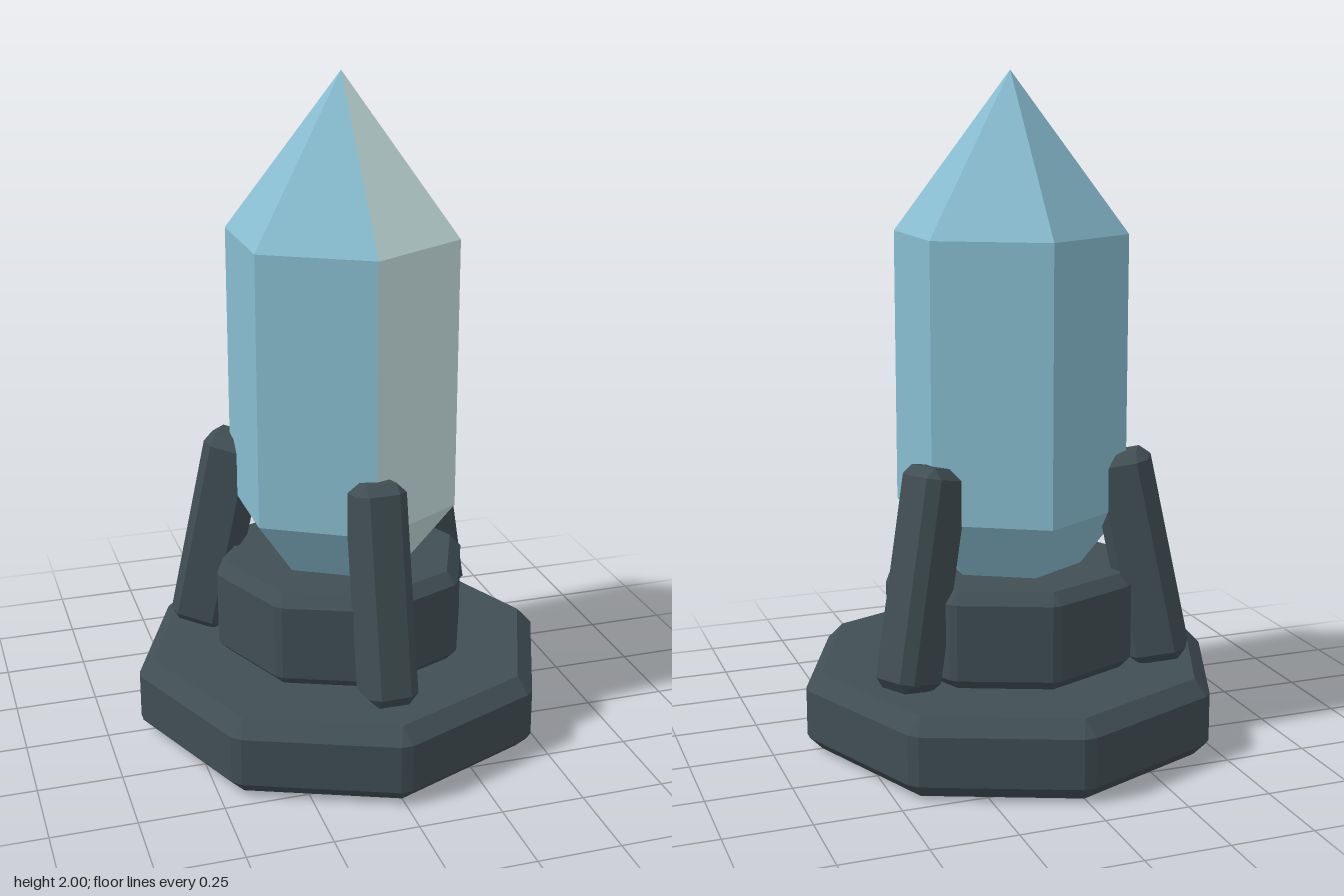
import * as THREE from 'three';
import { ConvexGeometry } from 'three/addons/geometries/ConvexGeometry.js';

const stone = new THREE.MeshStandardMaterial({ color: 0x404e53 });
stone.name = 'darkStone';
const blue = new THREE.MeshStandardMaterial({ color: 0x88bdd0 });
blue.name = 'crystalBlue';
const pale = new THREE.MeshStandardMaterial({ color: 0xc6dfdf });
pale.name = 'crystalPale';

function mesh(name, geometry, material) {
  const m = new THREE.Mesh(geometry, material);
  m.name = name;
  return m;
}

// Octagonal slab with every edge bevelled: r is the radius of the flat caps.
function bevelledOctagon(r, bevel, y0, y1) {
  const pts = [];
  const half = Math.PI / 8;
  const apothem = r * Math.cos(half);
  const side = r * Math.sin(half);
  for (let i = 0; i < 8; i++) {
    const corner = (i * Math.PI) / 4;
    for (const y of [y0, y1]) {
      pts.push(new THREE.Vector3(r * Math.sin(corner), y, r * Math.cos(corner)));
    }
    // Side panel, pushed outwards by the bevel
    const a = corner + half;
    const d = apothem + bevel;
    for (const s of [-side, side]) {
      for (const y of [y0 + bevel, y1 - bevel]) {
        pts.push(new THREE.Vector3(
          d * Math.sin(a) + s * Math.cos(a), y, d * Math.cos(a) - s * Math.sin(a)));
      }
    }
  }
  return new ConvexGeometry(pts);
}

// Box with every edge bevelled
function bevelledBox(w, h, d, b) {
  const pts = [];
  const [x, y, z] = [w / 2, h / 2, d / 2];
  for (const i of [-1, 1]) for (const j of [-1, 1]) for (const k of [-1, 1]) {
    pts.push(
      new THREE.Vector3(i * x, j * (y - b), k * (z - b)),
      new THREE.Vector3(i * (x - b), j * y, k * (z - b)),
      new THREE.Vector3(i * (x - b), j * (y - b), k * z));
  }
  return new ConvexGeometry(pts);
}

// Run of hexagonal crystal facets, flat shaded
function facets(first, count) {
  const profile = [[0, 0.24], [0.352, 0.71], [0.352, 1.53], [0, 2]]
    .map(([r, y]) => new THREE.Vector2(r, y));
  const step = Math.PI / 3;
  const g = new THREE.LatheGeometry(profile, count, first * step, count * step).toNonIndexed();
  g.computeVertexNormals();
  return g;
}

export function createModel() {
  const model = new THREE.Group();
  model.name = 'crystalPedestal';

  // Stepped plinth
  model.add(mesh('base', bevelledOctagon(0.6, 0.045, 0, 0.237), stone));
  model.add(mesh('collar', bevelledOctagon(0.36, 0.034, 0.235, 0.53), stone));

  // Crystal with one pale column of facets
  const crystal = new THREE.Group();
  crystal.name = 'crystal';
  crystal.add(mesh('paleFacets', facets(0, 1), pale));
  crystal.add(mesh('blueFacets', facets(1, 5), blue));
  model.add(crystal);

  // Three prongs leaning in to grip the crystal
  const prongGeometry = bevelledBox(0.15, 0.65, 0.175, 0.03);
  for (let i = 0; i < 3; i++) {
    const arm = new THREE.Group();
    arm.name = 'prong' + (i + 1);
    arm.rotation.y = (i * Math.PI * 2) / 3;
    const prong = mesh('prongStone', prongGeometry, stone);
    prong.position.set(0, 0.562, 0.397);
    prong.rotation.x = -THREE.MathUtils.degToRad(12);
    arm.add(prong);
    model.add(arm);
  }
  return model;
}
